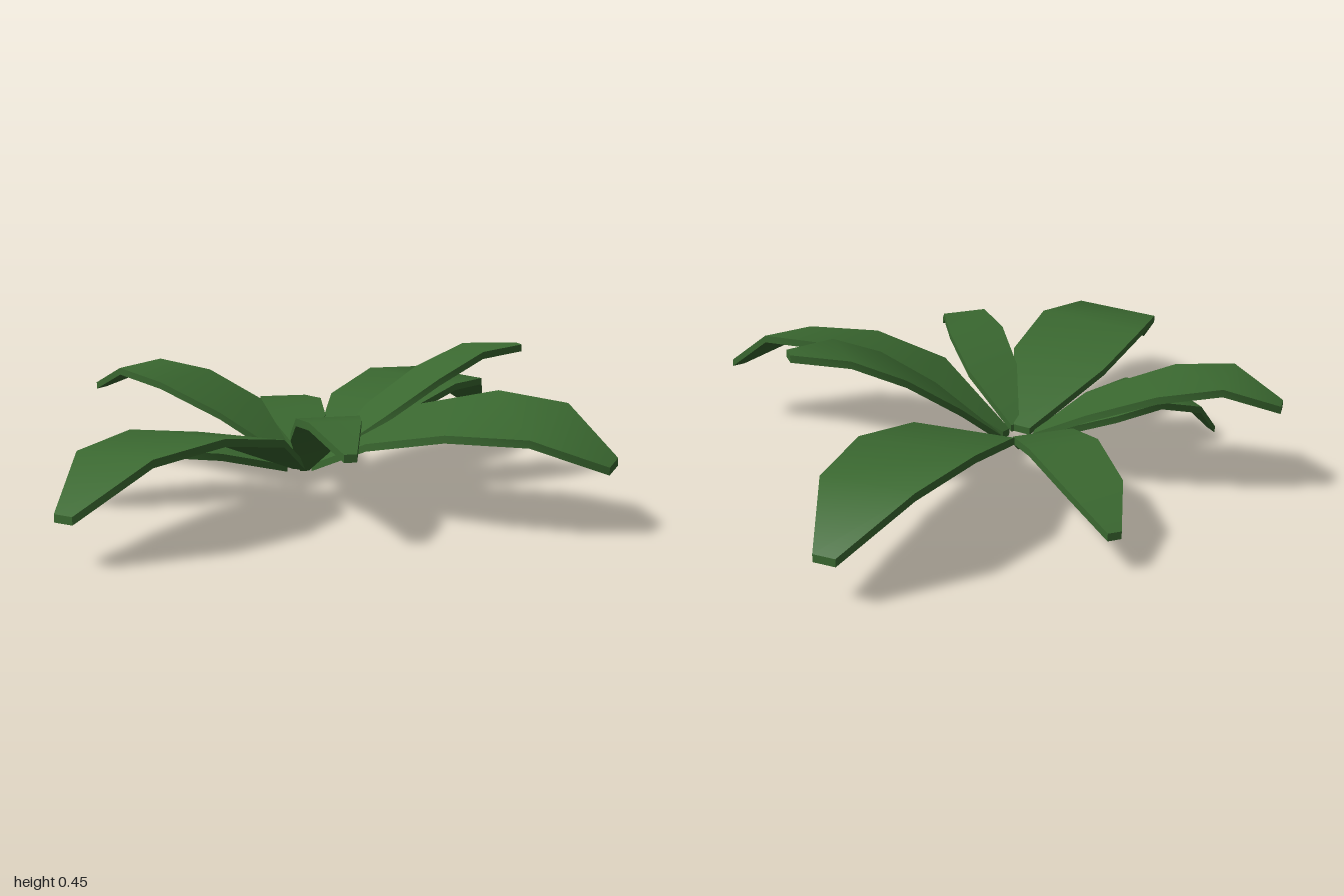
import * as THREE from 'three';

const THICKNESS = 0.022;
// Relative half width from root to tip
const PROFILE = [0.15, 0.9, 1, 0.79, 0.19];

// Strip of quads between two edge rows; own vertices so that borders stay sharp
function strip(a, b) {
  const pos = [], index = [];
  a.forEach((p, i) => {
    pos.push(...p, ...b[i]);
    if (i > 0) {
      const k = 2 * i - 2;
      index.push(k, k + 1, k + 3, k, k + 3, k + 2);
    }
  });
  const g = new THREE.BufferGeometry();
  g.setAttribute('position', new THREE.Float32BufferAttribute(pos, 3));
  g.setIndex(index);
  g.computeVertexNormals();
  return g;
}

// Leaf blade: a thin slab swept along a midline, optionally rolled to one side
function makeLeaf({ name, width, roll = 0, path }, material) {
  const root = path[0], tip = path[path.length - 1];
  const dir = new THREE.Vector2(tip[0] - root[0], tip[2] - root[2]).normalize();
  const edge = (side, drop) => path.map(([x, y, z], i) => {
    const h = side * PROFILE[i];
    return [x - dir.y * h * width, y + roll * h - drop, z + dir.x * h * width];
  });
  const lt = edge(-1, 0), rt = edge(1, 0);
  const lb = edge(-1, THICKNESS), rb = edge(1, THICKNESS);
  const n = path.length - 1;
  const parts = {
    Top: strip(lt, rt),
    Underside: strip(rb, lb),
    RightEdge: strip(rt, rb),
    LeftEdge: strip(lb, lt),
    TipEdge: strip([lb[n], rb[n]], [lt[n], rt[n]]),
    RootEdge: strip([rb[0], lb[0]], [rt[0], lt[0]]),
  };
  const leaf = new THREE.Group();
  leaf.name = name;
  for (const [part, geometry] of Object.entries(parts)) {
    const mesh = new THREE.Mesh(geometry, material);
    mesh.name = name + part;
    leaf.add(mesh);
  }
  return leaf;
}

export function createModel() {
  const green = new THREE.MeshStandardMaterial({ color: 0x3a6830, side: THREE.DoubleSide });
  green.name = 'leaf green';

  const leaves = [
    // Long leaves
    { name: 'backLeaf', width: 0.18, roll: -0.01, path: [
      [-0.1, 0.1, -0.05], [-0.098, 0.235, -0.34], [-0.095, 0.287, -0.6], [-0.085, 0.27, -0.83], [-0.065, 0.145, -1]] },
    { name: 'frontLeaf', width: 0.18, roll: -0.01, path: [
      [-0.1, 0.1, 0.05], [-0.098, 0.235, 0.33], [-0.102, 0.287, 0.6], [-0.11, 0.27, 0.83], [-0.123, 0.145, 1]] },
    { name: 'leftwardLeaf', width: 0.182, roll: -0.035, path: [
      [-0.07, 0.1, 0], [0.23, 0.26, 0.025], [0.485, 0.32, 0.005], [0.71, 0.315, -0.025], [0.88, 0.21, -0.08]] },
    { name: 'rightwardLeaf', width: 0.145, path: [
      [-0.16, 0.11, 0.015], [-0.36, 0.247, 0.015], [-0.56, 0.33, 0.053], [-0.733, 0.36, 0.085], [-0.882, 0.29, 0.122]] },
    // Short diagonal leaves
    { name: 'backRightLeaf', width: 0.103, path: [
      [-0.155, 0.1, -0.06], [-0.27, 0.195, -0.17], [-0.38, 0.222, -0.277], [-0.535, 0.195, -0.43], [-0.63, 0.12, -0.523]] },
    { name: 'backLeftLeaf', width: 0.133, path: [
      [-0.07, 0.11, -0.05], [0.045, 0.25, -0.16], [0.16, 0.365, -0.28], [0.253, 0.438, -0.405], [0.36, 0.447, -0.513]] },
    { name: 'frontLeftLeaf', width: 0.092, path: [
      [-0.075, 0.1, 0.055], [0.055, 0.235, 0.16], [0.17, 0.312, 0.27], [0.273, 0.33, 0.38], [0.385, 0.27, 0.468]] },
    { name: 'frontRightLeaf', width: 0.122, path: [
      [-0.15, 0.09, 0.05], [-0.3, 0.155, 0.205], [-0.395, 0.177, 0.33], [-0.5, 0.13, 0.45], [-0.57, 0.023, 0.518]] },
  ];

  const plant = new THREE.Group();
  plant.name = 'leafyPlant';
  for (const spec of leaves) plant.add(makeLeaf(spec, green));
  return plant;
}
